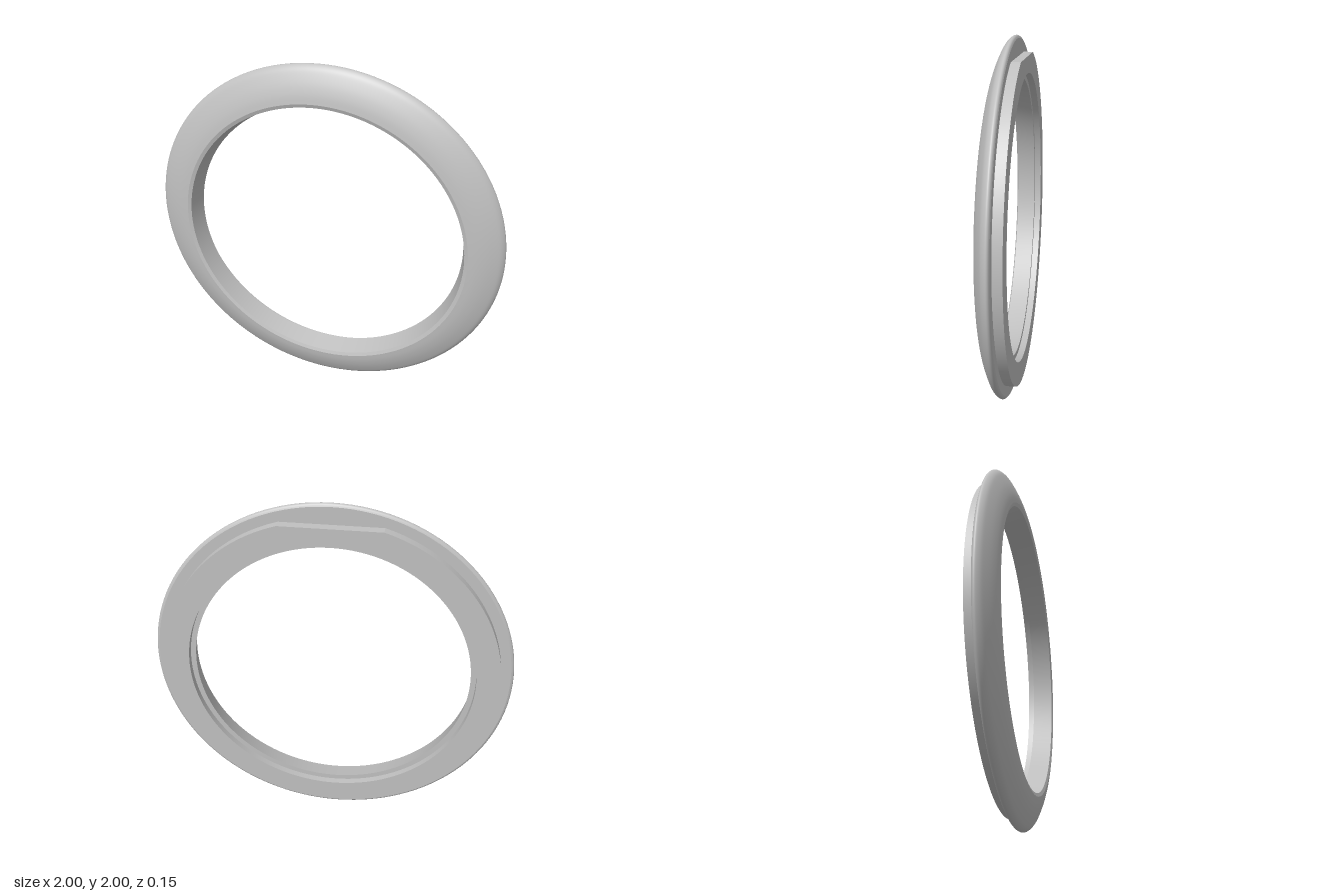
import * as THREE from 'three';
import { toCreasedNormals } from 'three/addons/utils/BufferGeometryUtils.js';

const SEGMENTS = 128;

export function createModel() {
  const model = new THREE.Group();
  model.name = 'bezelRing';
  const metal = new THREE.MeshStandardMaterial({ color: 0xc0c0c0 });
  metal.name = 'satin grey';

  const add = (name, geometry) => {
    const mesh = new THREE.Mesh(geometry, metal);
    mesh.name = name;
    mesh.position.y = 1;
    model.add(mesh);
  };
  // Each band is a [radius, z] profile turned about the z axis
  const band = (name, profile) => {
    const points = profile.map(([r, z]) => new THREE.Vector2(r, z));
    add(name, new THREE.LatheGeometry(points, SEGMENTS).rotateX(Math.PI / 2));
  };

  // Domed front with a rounded outer rim
  const dome = new THREE.SplineCurve([
    [0.985, -0.026], [0.997, -0.019], [1, -0.006], [0.985, 0.014], [0.96, 0.03],
    [0.91, 0.053], [0.86, 0.069], [0.815, 0.077],
  ].map(([r, z]) => new THREE.Vector2(r, z)));
  band('domedFront', dome.getPoints(28).map((p) => [p.x, p.y]));

  // Inner lip, tapered bore, rear step and rim back
  band('innerLip', [[0.815, 0.077], [0.795, 0.07]]);
  band('taperedBore', [[0.795, 0.07], [0.77, -0.04]]);
  band('rearStep', [[0.77, -0.04], [0.8, -0.04]]);
  band('rimBack', [[0.85, -0.026], [0.985, -0.026]]);

  // Raised back plate with a flat cut across its top
  const radius = 0.93;
  const angle = Math.asin(0.89 / radius);
  const shape = new THREE.Shape();
  shape.absarc(0, 0, radius, Math.PI - angle, Math.PI * 2 + angle, false);
  shape.closePath();
  const hole = new THREE.Path();
  hole.absarc(0, 0, 0.8, 0, Math.PI * 2, true);
  shape.holes.push(hole);
  const plate = new THREE.ExtrudeGeometry(shape, {
    depth: 0.051, bevelEnabled: false, curveSegments: SEGMENTS,
  });
  plate.translate(0, 0, -0.077);
  add('backPlate', toCreasedNormals(plate, 0.2));

  return model;
}
